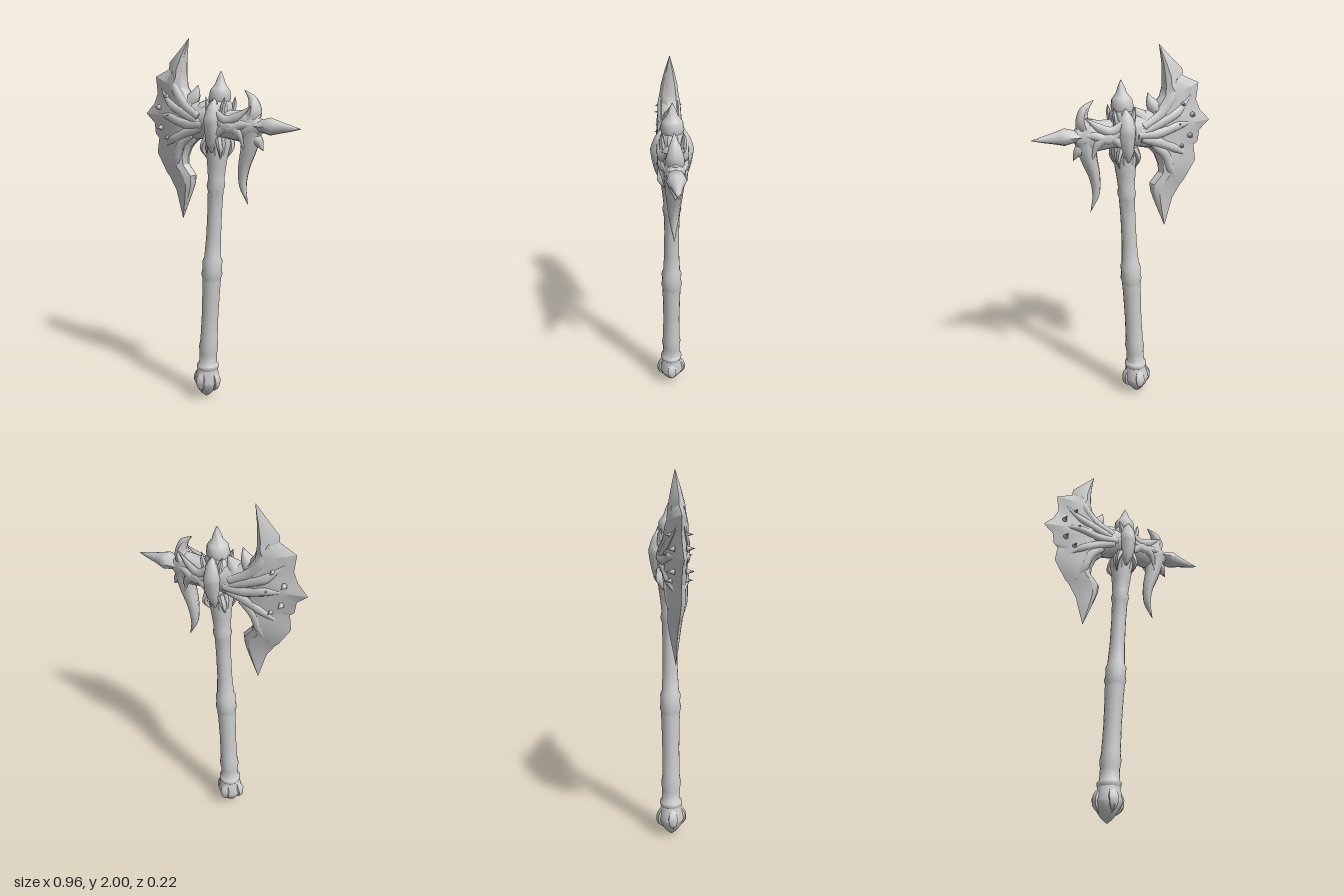
import * as THREE from 'three';
import { toCreasedNormals } from 'three/addons/utils/BufferGeometryUtils.js';

const steel = new THREE.MeshStandardMaterial({ color: 0xcccccc });
steel.name = 'light grey steel';

// Joins closed rings of points into a capped solid with outward faces
function loft(rings, crease = 0.6) {
  const n = rings[0].length, pos = rings.flat().flat(), index = [];
  for (let r = 0; r < rings.length - 1; r++) {
    for (let i = 0; i < n; i++) {
      const a = r * n + i, b = r * n + (i + 1) % n;
      index.push(a, b, b + n, a, b + n, a + n);
    }
  }
  const last = (rings.length - 1) * n;
  for (let i = 1; i < n - 1; i++) {
    index.push(0, i + 1, i, last, last + i, last + i + 1);
  }
  const p = i => new THREE.Vector3().fromArray(pos, i * 3);
  let volume = 0;
  for (let i = 0; i < index.length; i += 3) {
    volume += p(index[i]).dot(p(index[i + 1]).cross(p(index[i + 2])));
  }
  if (volume < 0) index.reverse();
  const geo = new THREE.BufferGeometry();
  geo.setAttribute('position', new THREE.Float32BufferAttribute(pos, 3));
  geo.setIndex(index);
  return toCreasedNormals(geo, crease);
}

// Tapered solid along a curve; each point is [x, y, z, half width, half depth]
function horn(points, sides = 8, steps = 12) {
  const path = new THREE.CatmullRomCurve3(points.map(p => new THREE.Vector3(p[0], p[1], p[2])));
  const rings = [];
  for (let s = 0; s <= steps; s++) {
    const t = s / steps, f = t * (points.length - 1);
    const k = Math.min(Math.floor(f), points.length - 2);
    const c = path.getPoint(t), d = path.getTangent(t);
    const len = Math.hypot(d.x, d.y) || 1;
    const w = THREE.MathUtils.lerp(points[k][3], points[k + 1][3], f - k);
    const z = THREE.MathUtils.lerp(points[k][4], points[k + 1][4], f - k);
    rings.push(Array.from({ length: sides }, (_, i) => {
      const a = i / sides * Math.PI * 2, u = Math.cos(a) * w;
      return [c.x - d.y / len * u, c.y + d.x / len * u, c.z + Math.sin(a) * z];
    }));
  }
  return loft(rings, 0.9);
}

// Turned part that follows the slight lean of the handle
const lean = y => -0.086 + 0.054 * y;
function turned(profile, sides, crease = 0.5, phase = 0) {
  const geo = new THREE.LatheGeometry(profile.map(([r, y]) => new THREE.Vector2(r, y)), sides, phase);
  const p = geo.attributes.position;
  for (let i = 0; i < p.count; i++) p.setX(i, p.getX(i) + lean(p.getY(i)));
  return toCreasedNormals(geo, crease);
}

export function createModel() {
  const model = new THREE.Group();
  const add = (name, geo) => {
    const mesh = new THREE.Mesh(geo, steel);
    mesh.name = name;
    model.add(mesh);
    return mesh;
  };

  // Handle with swollen bands
  add('handle', turned([
    [0.055, 0.17], [0.062, 0.185], [0.062, 0.2], [0.051, 0.21], [0.05, 0.27], [0.055, 0.31], [0.049, 0.35],
    [0.047, 0.5], [0.05, 0.66], [0.052, 0.7], [0.052, 0.72], [0.059, 0.74], [0.053, 0.77], [0.056, 0.815],
    [0.047, 0.835], [0.041, 0.95], [0.04, 1.1], [0.043, 1.21], [0.05, 1.235], [0.044, 1.27],
    [0.051, 1.34], [0.058, 1.4], [0.06, 1.45]], 16, 0.9));

  // Pommel with four claws
  add('pommel', turned([[0.001, 0], [0.03, 0.025], [0.055, 0.06], [0.073, 0.1],
    [0.064, 0.14], [0.058, 0.175], [0, 0.18]], 12, 0.7));
  for (let i = 0; i < 4; i++) {
    const claw = add('pommelClaw', horn([[0.045, 0.165, 0, 0.01, 0.014], [0.066, 0.12, 0, 0.018, 0.03],
      [0.062, 0.08, 0, 0.02, 0.022], [0.045, 0.045, 0, 0.002, 0.002]], 6, 8));
    claw.position.x = lean(0.1);
    claw.rotation.y = i * Math.PI / 2;
  }

  // Socket and finial
  add('socket', turned([[0, 1.38], [0.058, 1.4], [0.07, 1.46], [0.064, 1.5], [0.07, 1.56],
    [0.074, 1.63], [0.066, 1.67], [0.05, 1.69], [0, 1.69]], 8, 0.5, Math.PI / 8));
  add('finial', turned([[0.05, 1.67], [0.06, 1.7], [0.055, 1.72], [0.054, 1.735], [0.045, 1.748],
    [0.028, 1.77], [0.018, 1.8], [0.001, 1.836]], 16, 0.8));
  for (const sx of [-1, 1]) for (const sz of [-1, 1]) {
    add('collarPoint', horn([[0.012 + sx * 0.04, 1.62, sz * 0.05, 0.018, 0.018],
      [0.012 + sx * 0.05, 1.67, sz * 0.055, 0.013, 0.012], [0.01 + sx * 0.058, 1.705, sz * 0.05, 0.001, 0.001]], 6, 6));
    add('socketFoot', horn([[lean(1.5) + sx * 0.035, 1.5, sz * 0.055, 0.02, 0.02],
      [lean(1.44) + sx * 0.055, 1.44, sz * 0.06, 0.013, 0.02], [lean(1.38) + sx * 0.04, 1.38, sz * 0.03, 0.002, 0.002]], 6, 6));
  }

  // Arms joining the socket to the blade and to the rear spike
  add('bladeArm', horn([[0.02, 1.575, 0, 0.085, 0.075], [-0.06, 1.575, 0, 0.085, 0.072],
    [-0.13, 1.575, 0, 0.1, 0.063], [-0.22, 1.58, 0, 0.1, 0.058], [-0.33, 1.59, 0, 0.03, 0.03]], 12));
  add('rearArm', horn([[0, 1.57, 0, 0.085, 0.073], [0.06, 1.565, 0, 0.075, 0.069],
    [0.13, 1.56, 0, 0.08, 0.061], [0.2, 1.56, 0, 0.09, 0.052], [0.26, 1.56, 0, 0.035, 0.035]], 12));

  // Jagged blade: [outer x, outer y, inner x, inner y, half thickness]
  const stations = [
    [-0.19, 2.0, -0.188, 1.998, 0.001], [-0.254, 1.935, -0.205, 1.9, 0.025], [-0.317, 1.875, -0.208, 1.82, 0.042],
    [-0.32, 1.84, -0.208, 1.78, 0.047], [-0.41, 1.8, -0.195, 1.74, 0.052], [-0.4, 1.71, -0.14, 1.67, 0.056],
    [-0.425, 1.655, -0.11, 1.63, 0.058], [-0.48, 1.6, -0.1, 1.59, 0.06], [-0.425, 1.55, -0.11, 1.54, 0.058],
    [-0.418, 1.49, -0.14, 1.47, 0.056], [-0.395, 1.47, -0.17, 1.44, 0.054], [-0.407, 1.386, -0.195, 1.38, 0.05],
    [-0.345, 1.28, -0.197, 1.34, 0.044], [-0.325, 1.26, -0.148, 1.28, 0.04], [-0.28, 1.185, -0.155, 1.235, 0.034],
    [-0.268, 1.14, -0.175, 1.18, 0.025], [-0.238, 1.032, -0.236, 1.033, 0.001]];
  const section = [[0, 0], [0.25, 0.45], [0.42, 0.72], [0.68, 1], [0.9, 0.7], [1, 0.15]];
  add('blade', loft(stations.map(([ox, oy, ix, iy, t]) => {
    const at = ([k, h], side) => [ox + (ix - ox) * k, oy + (iy - oy) * k, side * h * t];
    return [...section.map(s => at(s, 1)), ...section.slice(1).reverse().map(s => at(s, -1))];
  }), 0.45));

  // Hooks, spike and small points lying on the centre plane
  add('rearSpike', horn([[0.18, 1.565, 0, 0.035, 0.046], [0.25, 1.565, 0, 0.03, 0.042], [0.31, 1.565, 0, 0.045, 0.05],
    [0.365, 1.563, 0, 0.03, 0.03], [0.42, 1.561, 0, 0.017, 0.017], [0.48, 1.56, 0, 0.001, 0.001]], 8, 15));
  add('upperHook', horn([[0.18, 1.57, 0, 0.05, 0.05], [0.217, 1.635, 0, 0.034, 0.045],
    [0.205, 1.695, 0, 0.024, 0.028], [0.156, 1.742, 0, 0.001, 0.001]]));
  add('lowerHook', horn([[0.2, 1.54, 0, 0.06, 0.05], [0.185, 1.45, 0, 0.045, 0.045], [0.157, 1.35, 0, 0.031, 0.035],
    [0.15, 1.25, 0, 0.02, 0.022], [0.18, 1.155, 0, 0.001, 0.001]], 8, 16));
  add('rearTooth', horn([[0.19, 1.53, 0, 0.04, 0.045], [0.24, 1.485, 0, 0.028, 0.03], [0.268, 1.44, 0, 0.001, 0.001]]));
  add('rearBarb', horn([[0.2, 1.59, 0, 0.04, 0.04], [0.23, 1.605, 0, 0.025, 0.03], [0.252, 1.622, 0, 0.001, 0.001]]));
  add('bladeBarb', horn([[-0.19, 1.66, 0, 0.05, 0.05], [-0.15, 1.71, 0, 0.03, 0.03], [-0.13, 1.762, 0, 0.001, 0.001]]));
  add('armBarb', horn([[-0.12, 1.61, 0, 0.05, 0.06], [-0.08, 1.655, 0, 0.035, 0.04], [-0.05, 1.695, 0, 0.002, 0.002]]));

  // Raised ornament repeated on both faces
  const ribs = [
    [[-0.09, 1.6, 0.062], [-0.19, 1.66, 0.048], [-0.25, 1.74, 0.045], [-0.28, 1.83, 0.03]],
    [[-0.08, 1.57, 0.062], [-0.2, 1.62, 0.052], [-0.28, 1.66, 0.047], [-0.36, 1.74, 0.018]],
    [[-0.06, 1.56, 0.066], [-0.17, 1.56, 0.057], [-0.28, 1.59, 0.05], [-0.38, 1.6, 0.022]],
    [[-0.08, 1.54, 0.062], [-0.18, 1.51, 0.052], [-0.27, 1.47, 0.046], [-0.35, 1.42, 0.018]],
    [[-0.15, 1.5, 0.048], [-0.22, 1.44, 0.046], [-0.25, 1.36, 0.041], [-0.29, 1.28, 0.02]],
    [[0.02, 1.63, 0.068], [0.08, 1.59, 0.063], [0.14, 1.61, 0.053], [0.21, 1.66, 0.037]],
    [[0.03, 1.52, 0.067], [0.09, 1.56, 0.064], [0.15, 1.53, 0.056], [0.18, 1.44, 0.04]],
    [[0.04, 1.58, 0.066], [0.1, 1.55, 0.063], [0.17, 1.57, 0.052], [0.24, 1.57, 0.034]]];
  const thorns = [[-0.31, 1.7], [-0.31, 1.48], [-0.37, 1.64], [-0.36, 1.53], [-0.29, 1.6]];
  for (const side of [1, -1]) {
    for (const rib of ribs) {
      const width = [0.02, 0.026, 0.022, 0.003];
      add('ornamentRib', horn(rib.map(([x, y, z], i) => [x, y, z * side, width[i], width[i] * 0.6]), 8, 12));
    }
    for (const [x, y] of thorns) {
      const thorn = add('bladeThorn', new THREE.ConeGeometry(0.015, 0.045, 6));
      thorn.position.set(x, y, side * 0.05);
      thorn.rotation.x = side * Math.PI / 2;
    }
    // Pointed plate on the socket face
    add('socketPlate', horn([[lean(1.41), 1.42, side * 0.055, 0.006, 0.01], [lean(1.48), 1.47, side * 0.066, 0.03, 0.022],
      [0, 1.53, side * 0.068, 0.042, 0.034], [0, 1.59, side * 0.07, 0.046, 0.04],
      [0.004, 1.65, side * 0.066, 0.034, 0.024], [0.008, 1.7, side * 0.052, 0.004, 0.008]], 8, 15));
  }
  return model;
}
